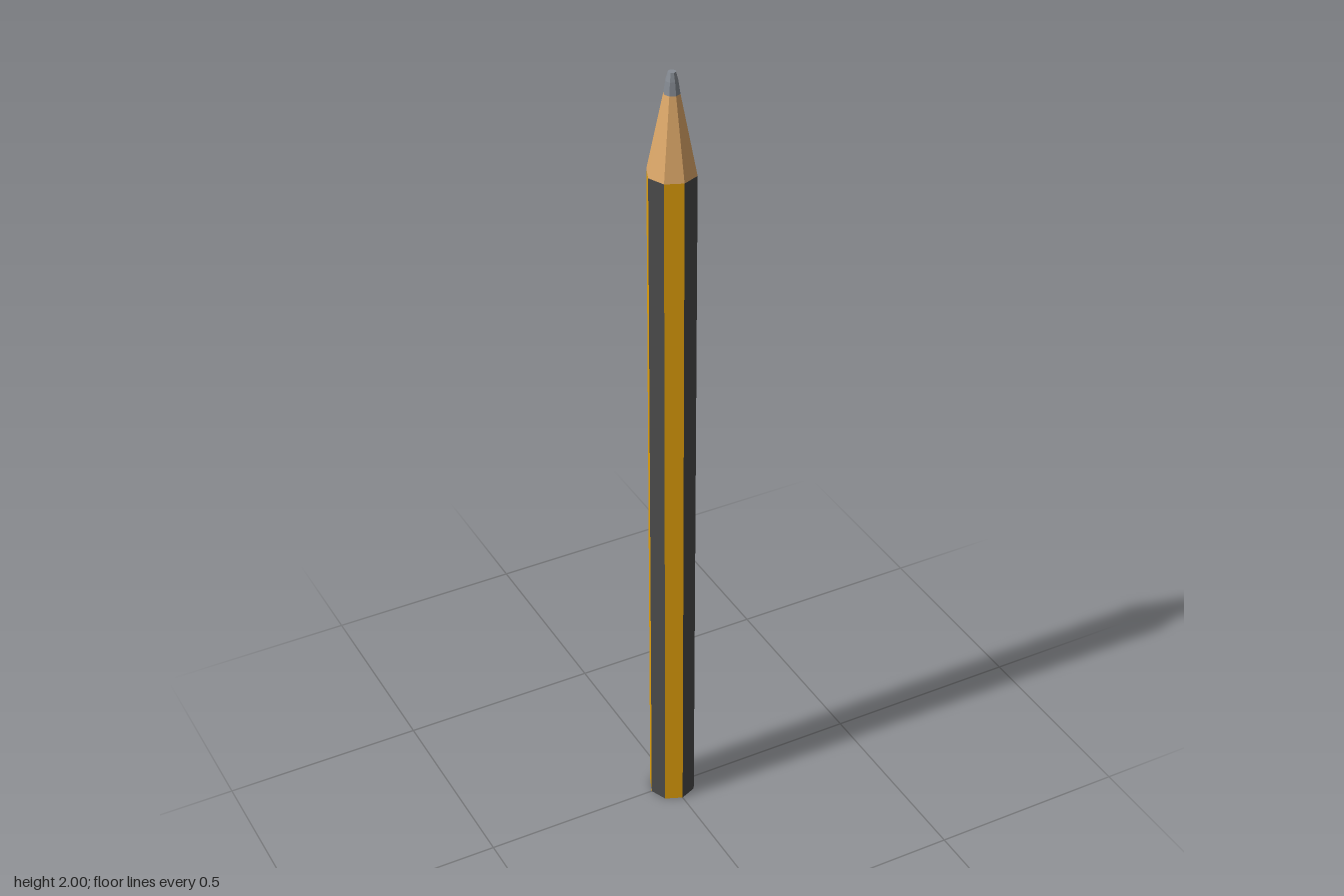
import * as THREE from 'three';

const SIDES = 8;
const RADIUS = 0.058;
const SHOULDER = 1.76;  // where the painted barrel ends
const WOOD_TOP = 1.95;  // where the wood meets the lead

const paint = (color, flatShading = true) => new THREE.MeshStandardMaterial({ color, flatShading });

// Eight-sided frustum standing between two heights, corners on the x and z axes
function frustum(name, material, rBottom, rTop, y0, y1, open = true, start = 0, sweep = Math.PI * 2, sides = SIDES) {
  const geometry = new THREE.CylinderGeometry(rTop, rBottom, y1 - y0, sides, 1, open, start, sweep);
  geometry.translate(0, (y0 + y1) / 2, 0);
  const mesh = new THREE.Mesh(geometry, material);
  mesh.name = name;
  return mesh;
}

function disc(name, material, radius, y, up) {
  const mesh = new THREE.Mesh(new THREE.CircleGeometry(radius, SIDES), material);
  mesh.rotation.x = up ? -Math.PI / 2 : Math.PI / 2;
  mesh.position.y = y;
  mesh.name = name;
  return mesh;
}

export function createModel() {
  const model = new THREE.Group();
  model.name = 'pencil';

  const yellow = paint(0xe6a30c);
  const dark = paint(0x4a4a4a);
  const wood = paint(0xe0aa6a);
  const lead = paint(0x868c94);

  // Barrel: alternating dark and yellow stripes, one per side
  const barrel = new THREE.Group();
  barrel.name = 'barrel';
  const step = (Math.PI * 2) / SIDES;
  for (let i = 0; i < SIDES; i++) {
    const isDark = i % 2 === 0;
    barrel.add(frustum(isDark ? 'darkStripe' : 'yellowStripe', isDark ? dark : yellow,
      RADIUS, RADIUS, 0, SHOULDER, true, i * step, step, 1));
  }
  model.add(barrel);

  // Bare wood: flat butt end and sharpened cone
  model.add(disc('buttEnd', wood, RADIUS, 0, false));
  model.add(frustum('sharpenedWood', wood, RADIUS, 0.019, SHOULDER, WOOD_TOP));

  // Lead: slightly rounded and blunt at the top
  model.add(frustum('leadBase', lead, 0.019, 0.0145, WOOD_TOP, 1.98));
  model.add(frustum('leadPoint', lead, 0.0145, 0.009, 1.98, 2));
  model.add(disc('leadTip', lead, 0.009, 2, true));

  return model;
}
